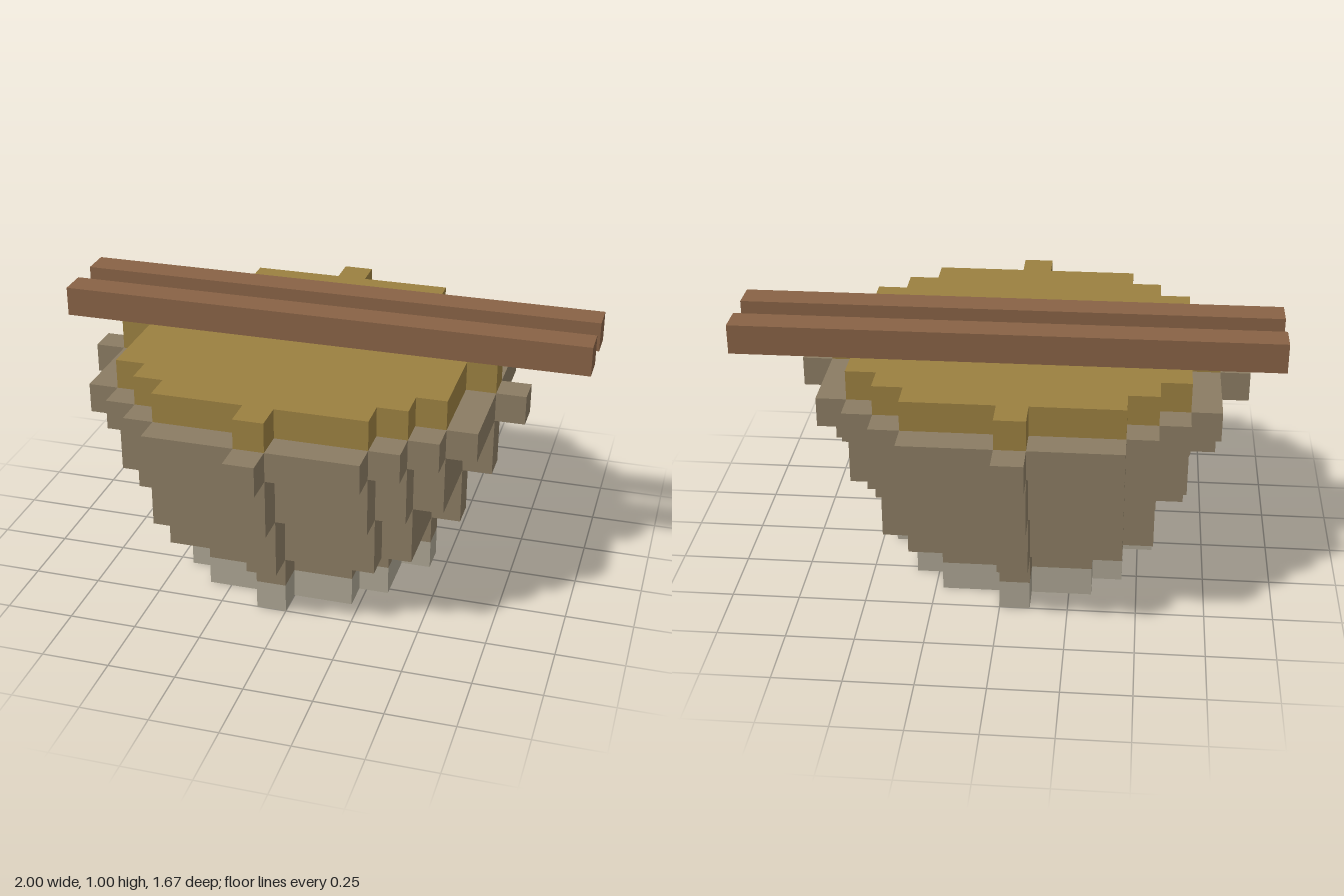
import * as THREE from 'three';

const U = 1 / 9; // one block

const COLORS = { clay: 0x8b7c63, foot: 0xaca593, filling: 0x9b8040, wood: 0x886245 };
const materials = Object.fromEntries(Object.entries(COLORS).map(([name, color]) =>
  [name, new THREE.MeshStandardMaterial({ color, flatShading: true })]));

// Stepped outline of a disk of whole blocks, in block units
function blockDisk(radius) {
  const half = (row) => Math.floor(Math.sqrt(radius * radius - row * row)) + 0.5;
  const right = [];
  for (let row = -radius; row <= radius; row++) {
    if (row === -radius || half(row) !== half(row - 1)) right.push([half(row), row - 0.5]);
    if (row === radius || half(row) !== half(row + 1)) right.push([half(row), row + 0.5]);
  }
  const left = right.map(([x, y]) => [-x, y]).reverse();
  return new THREE.Shape([...right, ...left].map(([x, y]) => new THREE.Vector2(x * U, y * U)));
}

// Disk layer from block height y0 to y1
function layer(name, radius, y0, y1, material) {
  const geometry = new THREE.ExtrudeGeometry(blockDisk(radius), { depth: (y1 - y0) * U, bevelEnabled: false });
  geometry.rotateX(-Math.PI / 2);
  const mesh = new THREE.Mesh(geometry, material);
  mesh.name = name;
  mesh.position.y = y0 * U;
  return mesh;
}

export function createModel() {
  const model = new THREE.Group();
  model.name = 'bowlWithSticks';

  // Bowl widening upwards, half a block off centre
  const bowl = new THREE.Group();
  bowl.name = 'bowl';
  bowl.position.x = -U / 2;
  bowl.add(
    layer('foot', 4, 0, 1, materials.foot),
    layer('bowlBottom', 4, 1, 2, materials.clay),
    layer('bowlLowerWall', 5, 2, 4, materials.clay),
    layer('bowlUpperWall', 6, 4, 6, materials.clay),
    layer('bowlRim', 7, 6, 7, materials.clay),
    layer('filling', 6, 7, 8, materials.filling),
  );
  model.add(bowl);

  // Two sticks lying across the filling
  for (const [name, z] of [['frontStick', 0], ['backStick', -2]]) {
    const stick = new THREE.Mesh(new THREE.BoxGeometry(18 * U, U, U), materials.wood);
    stick.name = name;
    stick.position.set(0, 8.5 * U, z * U);
    model.add(stick);
  }
  return model;
}
